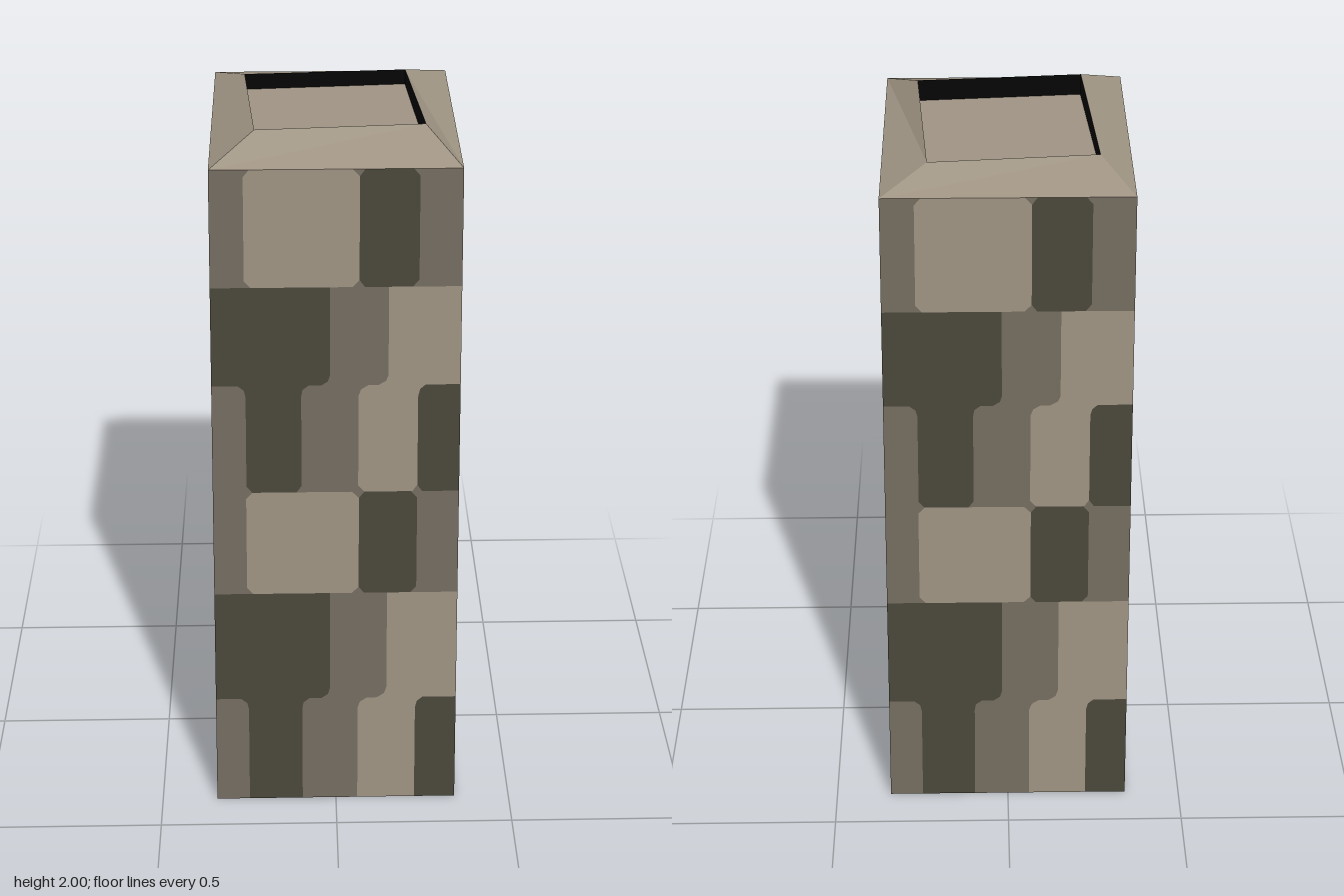
import * as THREE from 'three';

const TOP = 1.94; // height of the walls
const V = (x, y, z) => new THREE.Vector3(x, y, z);

// Flat-shaded mesh from quads, corners counter-clockwise from outside
function quadMesh(name, quads, material) {
  const points = quads.flatMap(([a, b, c, d]) => [a, b, c, a, c, d]);
  const geometry = new THREE.BufferGeometry().setFromPoints(points);
  geometry.computeVertexNormals();
  const mesh = new THREE.Mesh(geometry, material);
  mesh.name = name;
  return mesh;
}

// Corner ring of the tapering wall at height y, counter-clockwise from above
function wallRing(y) {
  const x = THREE.MathUtils.lerp(0.343, 0.317, y / TOP);
  const z = THREE.MathUtils.lerp(0.385, 0.354, y / TOP);
  return [V(-x, y, z), V(x, y, z), V(x, y, -z), V(-x, y, -z)];
}

// Three stone courses: colours left to right, and the joints between them
// at several heights (the shifting joints round the corners of the stones)
const COURSES = [
  {
    colours: ['mid', 'dark', 'mid', 'light', 'mid', 'dark'],
    levels: [
      [0, [0.16, 0.34, 0.615, 0.81, 0.85]],
      [0.06, [0.137, 0.36, 0.59, 0.83, 0.83]],
      [0.9, [0.137, 0.36, 0.59, 0.83, 0.83]],
      [0.96, [0.13, 0.365, 0.6, 0.838, 0.838]],
      [1, [0.105, 0.39, 0.63, 0.86, 0.86]],
    ],
  },
  {
    colours: ['dark', 'mid', 'light'],
    levels: [
      [0, [0.44, 0.67]],
      [0.04, [0.467, 0.7]],
      [0.1, [0.475, 0.71]],
      [1, [0.475, 0.71]],
    ],
  },
  {
    colours: ['mid', 'light', 'mid', 'dark', 'mid'],
    levels: [
      [0, [0.16, 0.565, 0.615, 0.805]],
      [0.06, [0.135, 0.593, 0.593, 0.83]],
      [0.94, [0.135, 0.593, 0.593, 0.83]],
      [1, [0.16, 0.565, 0.615, 0.805]],
    ],
  },
];
const COURSE_HEIGHTS = [0, 0.35, 0.7, 1.02, 1.34, 1.62, TOP];

// Quads of one wall, sorted by stone colour
function wallQuads(side) {
  const quads = { light: [], mid: [], dark: [] };
  const at = (u, y) => {
    const ring = wallRing(y);
    return ring[side].clone().lerp(ring[(side + 1) % 4], u);
  };
  for (let row = 0; row < 6; row++) {
    const { colours, levels } = COURSES[row % 3];
    const y = (t) => THREE.MathUtils.lerp(COURSE_HEIGHTS[row], COURSE_HEIGHTS[row + 1], t);
    for (let i = 0; i < levels.length - 1; i++) {
      // the lowest course meets the ground with straight joints
      const first = row === 0 && i === 0 ? levels[1] : levels[i];
      const low = [0, ...first[1], 1];
      const high = [0, ...levels[i + 1][1], 1];
      const y0 = y(levels[i][0]);
      const y1 = y(levels[i + 1][0]);
      colours.forEach((colour, k) => {
        if (low[k + 1] - low[k] + high[k + 1] - high[k] < 1e-6) return;
        quads[colour].push([at(low[k], y0), at(low[k + 1], y0), at(high[k + 1], y1), at(high[k], y1)]);
      });
    }
  }
  return quads;
}

export function createModel() {
  const model = new THREE.Group();
  model.name = 'stonePillar';
  const material = (name, color) => {
    const m = new THREE.MeshStandardMaterial({ color, side: THREE.DoubleSide });
    m.name = name;
    return m;
  };
  const materials = {
    light: material('lightStone', 0xa09584),
    mid: material('midStone', 0x766d61),
    dark: material('darkStone', 0x4b473b),
    black: material('blackRecess', 0x050505),
  };

  // Four tapering walls, open at the bottom
  ['front', 'left', 'back', 'right'].forEach((sideName, side) => {
    const wall = new THREE.Group();
    wall.name = sideName + 'Wall';
    for (const [colour, quads] of Object.entries(wallQuads(side))) {
      wall.add(quadMesh(colour + 'Stones', quads, materials[colour]));
    }
    model.add(wall);
  });

  // Sloping rim up to a slightly twisted, tilted opening
  const outer = wallRing(TOP);
  const opening = [V(-0.203, 2, 0.238), V(0.23, 2, 0.205), V(0.2, 1.983, -0.243), V(-0.233, 1.985, -0.21)];
  const floor = opening.map((p) => V(p.x, 1.942, p.z));
  const sides = [0, 1, 2, 3].map((i) => [i, (i + 1) % 4]);
  model.add(quadMesh('rim', sides.map(([i, j]) => [outer[i], outer[j], opening[j], opening[i]]), materials.light));

  // Shallow recess in the top
  model.add(quadMesh('recessWalls', sides.map(([i, j]) => [opening[i], opening[j], floor[j], floor[i]]), materials.black));
  model.add(quadMesh('recessFloor', [floor], materials.light));
  return model;
}
